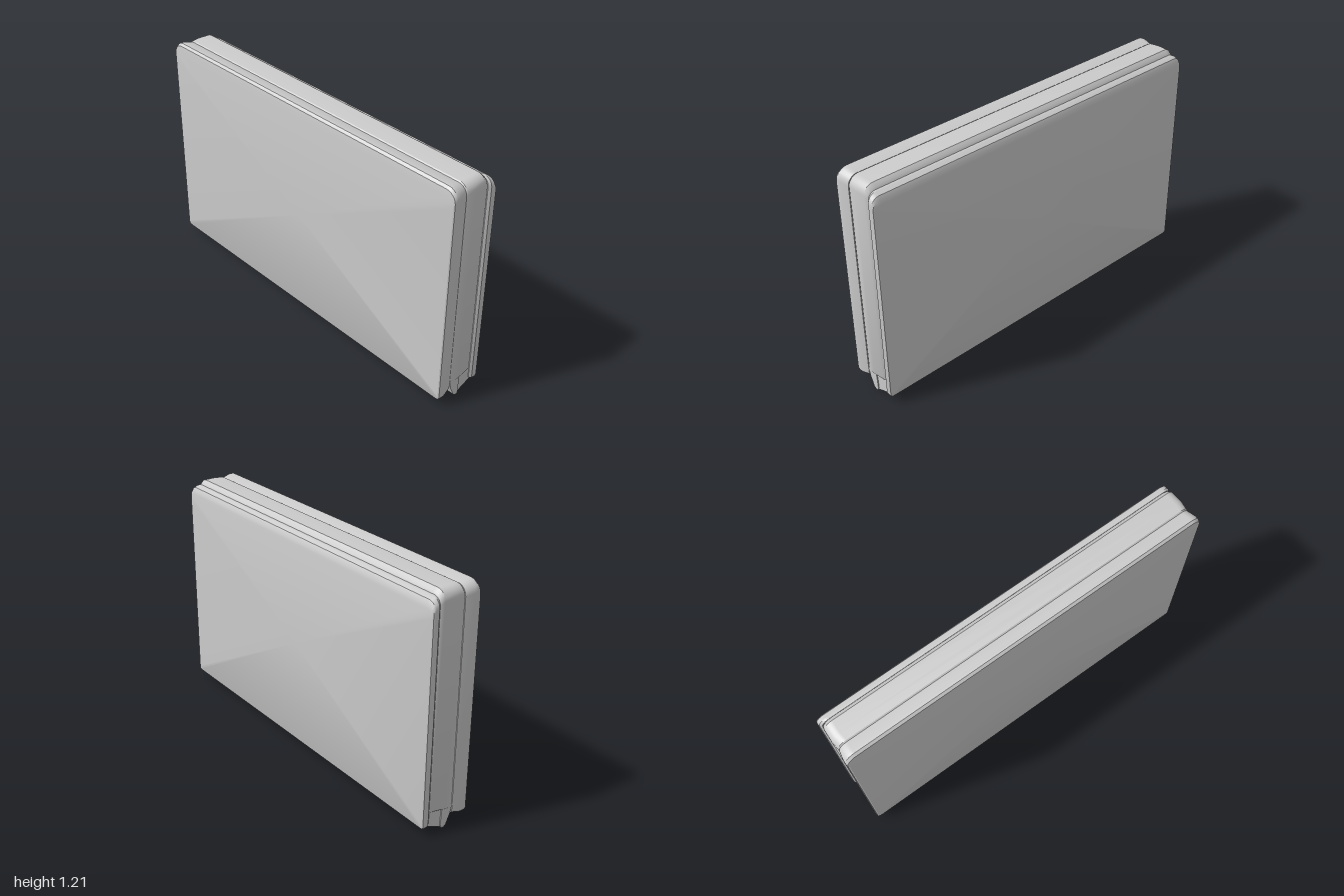
import * as THREE from 'three';
import { toCreasedNormals } from 'three/addons/utils/BufferGeometryUtils.js';

const material = new THREE.MeshStandardMaterial({ color: 0xcccccc });

// Rounded rectangle, counter-clockwise: half width w, bottom b, top t,
// bottom corner radius rb, top corner radius rt
function outline([z, w, b, t, rb, rt]) {
  const corners = [
    [w - rb, b + rb, rb, -90], [w - rt, t - rt, rt, 0],
    [rt - w, t - rt, rt, 90], [rb - w, b + rb, rb, 180],
  ];
  const points = [];
  for (const [x, y, r, start] of corners) {
    for (let i = 0; i <= 6; i++) {
      const a = THREE.MathUtils.degToRad(start + i * 15);
      points.push([x + r * Math.cos(a), y + r * Math.sin(a), z]);
    }
  }
  return points;
}

// Closed solid through outlines listed from front to back
function loft(name, sections) {
  const rings = sections.map(outline);
  const n = rings[0].length;
  const pos = [];
  const tri = (...p) => p.forEach((v) => pos.push(...v));
  const last = rings.length - 1;
  for (let j = 0; j < n; j++) {
    const k = (j + 1) % n;
    for (let i = 0; i < last; i++) {
      const [f, g] = [rings[i], rings[i + 1]];
      tri(f[j], g[j], g[k]);
      tri(f[j], g[k], f[k]);
    }
    tri([0, 0.6, rings[0][0][2]], rings[0][j], rings[0][k]);
    tri([0, 0.6, rings[last][0][2]], rings[last][k], rings[last][j]);
  }
  const geo = new THREE.BufferGeometry();
  geo.setAttribute('position', new THREE.Float32BufferAttribute(pos, 3));
  const mesh = new THREE.Mesh(toCreasedNormals(geo, 0.5), material);
  mesh.name = name;
  return mesh;
}

// Prism along x from a (z, y) profile
function prism(name, profile, x0, x1) {
  const shape = new THREE.Shape(profile.map(([z, y]) => new THREE.Vector2(-z, y)));
  const geo = new THREE.ExtrudeGeometry(shape, { depth: x1 - x0, bevelEnabled: false });
  geo.rotateY(Math.PI / 2).translate(x0, 0, 0);
  const mesh = new THREE.Mesh(geo, material);
  mesh.name = name;
  return mesh;
}

export function createModel() {
  const model = new THREE.Group();
  model.name = 'slimCase';

  // Front slab, its top sloping down towards the middle
  model.add(loft('frontPanel', [
    [0.135, 0.992, 0.052, 1.17, 0.02, 0.05],
    [0.131, 0.998, 0.045, 1.197, 0.02, 0.055],
    [0.118, 1.0, 0.045, 1.208, 0.02, 0.055],
    [0.1, 1.0, 0.045, 1.208, 0.02, 0.055],
    [0.052, 0.99, 0.055, 1.196, 0.02, 0.05],
  ]));

  // Core between the slabs, its underside left recessed
  model.add(loft('core', [
    [0.052, 0.986, 0.09, 1.195, 0.01, 0.05],
    [0.045, 0.99, 0.09, 1.2, 0.01, 0.05],
    [0, 0.995, 0.1, 1.203, 0.01, 0.05],
    [-0.065, 0.992, 0.11, 1.203, 0.01, 0.05],
    [-0.082, 0.988, 0.11, 1.19, 0.01, 0.05],
    [-0.095, 0.98, 0.11, 1.165, 0.01, 0.05],
  ]));

  // Back slab, slightly lower at the top
  model.add(loft('backPanel', [
    [-0.088, 0.988, 0.05, 1.178, 0.015, 0.04],
    [-0.1, 0.998, 0.043, 1.178, 0.015, 0.045],
    [-0.122, 1.0, 0.042, 1.167, 0.015, 0.045],
    [-0.131, 0.998, 0.044, 1.15, 0.015, 0.04],
    [-0.135, 0.99, 0.052, 1.13, 0.015, 0.035],
  ]));

  // Ridge along the underside
  model.add(prism('bottomRidge', [
    [0.052, 0.11], [0.04, 0.06], [0.018, 0.01], [0.006, 0], [-0.008, 0],
    [-0.016, 0.02], [-0.01, 0.12],
  ], -0.99, 0.99));

  // Wedge-shaped blocks closing both ends of the underside recess
  const wedge = [[0.045, 0.1], [0.02, 0.012], [0, 0.002], [-0.1, 0.043], [-0.09, 0.12]];
  model.add(prism('leftEndBlock', wedge, 0.91, 0.985));
  model.add(prism('rightEndBlock', wedge, -0.985, -0.91));

  return model;
}
